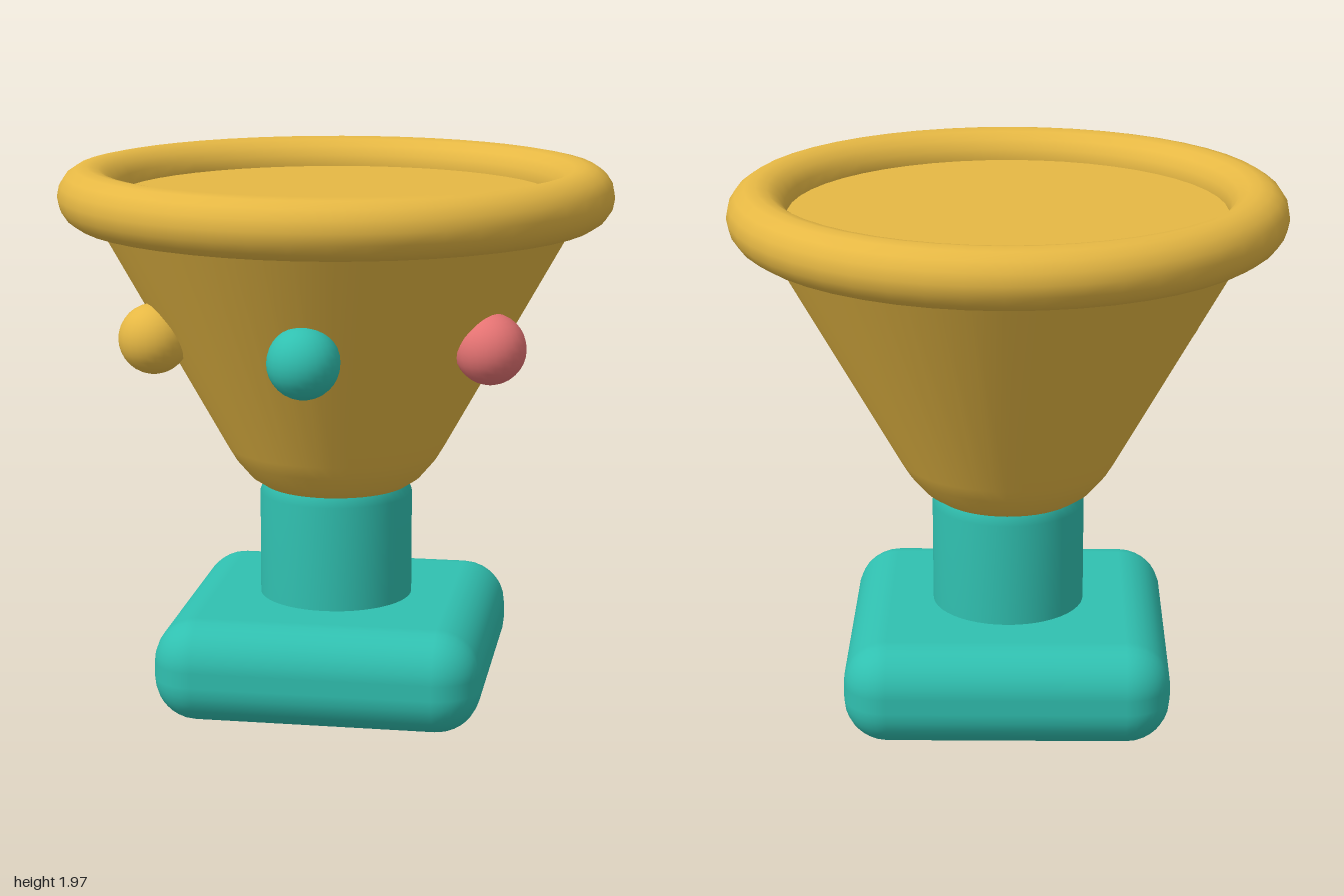
import * as THREE from 'three';
import { RoundedBoxGeometry } from 'three/addons/geometries/RoundedBoxGeometry.js';

function material(name, color) {
  const m = new THREE.MeshStandardMaterial({ color });
  m.name = name;
  return m;
}

export function createModel() {
  const gold = material('gold', 0xe6b844);
  const teal = material('teal', 0x30c0b0);
  const coral = material('coral', 0xe57373);

  const group = new THREE.Group();
  group.name = 'goblet';
  const add = (name, geometry, mat, x, y, z) => {
    const mesh = new THREE.Mesh(geometry, mat);
    mesh.name = name;
    mesh.position.set(x, y, z);
    group.add(mesh);
    return mesh;
  };
  const points = (list) => list.map(([x, y]) => new THREE.Vector2(x, y));

  // Square cushion-shaped foot
  add('base', new RoundedBoxGeometry(1.18, 0.375, 1.18, 4, 0.16), teal, 0, 0.1875, 0);

  // Round stem with a slightly eased top edge
  add('stem', new THREE.LatheGeometry(points([
    [0.28, 0.36], [0.28, 0.76], [0.265, 0.8],
  ]), 48), teal, 0, 0, 0);

  // Flared bowl with a rounded bottom edge
  add('bowl', new THREE.LatheGeometry(points([
    [0.27, 0.795], [0.315, 0.825], [0.37, 0.89], [0.4, 0.94], [0.86, 1.77], [0.9, 1.85],
  ]), 48), gold, 0, 0, 0);

  // Flat underside and filled top of the bowl
  add('bowlUnderside', new THREE.CircleGeometry(0.27, 48).rotateX(Math.PI / 2), gold, 0, 0.795, 0);
  add('bowlTop', new THREE.CircleGeometry(0.88, 48).rotateX(-Math.PI / 2), gold, 0, 1.86, 0);

  // Thick ring around the mouth
  add('rim', new THREE.TorusGeometry(0.892, 0.106, 16, 48).rotateX(Math.PI / 2), gold, 0, 1.86, 0);

  // Three round studs spread across the front
  const stud = new THREE.SphereGeometry(0.126, 24, 16);
  [['studRight', -60, gold], ['studFront', 0, teal], ['studLeft', 60, coral]].forEach(([name, degrees, mat]) => {
    const a = THREE.MathUtils.degToRad(degrees);
    add(name, stud, mat, 0.69 * Math.sin(a), 1.375, 0.69 * Math.cos(a));
  });

  return group;
}
